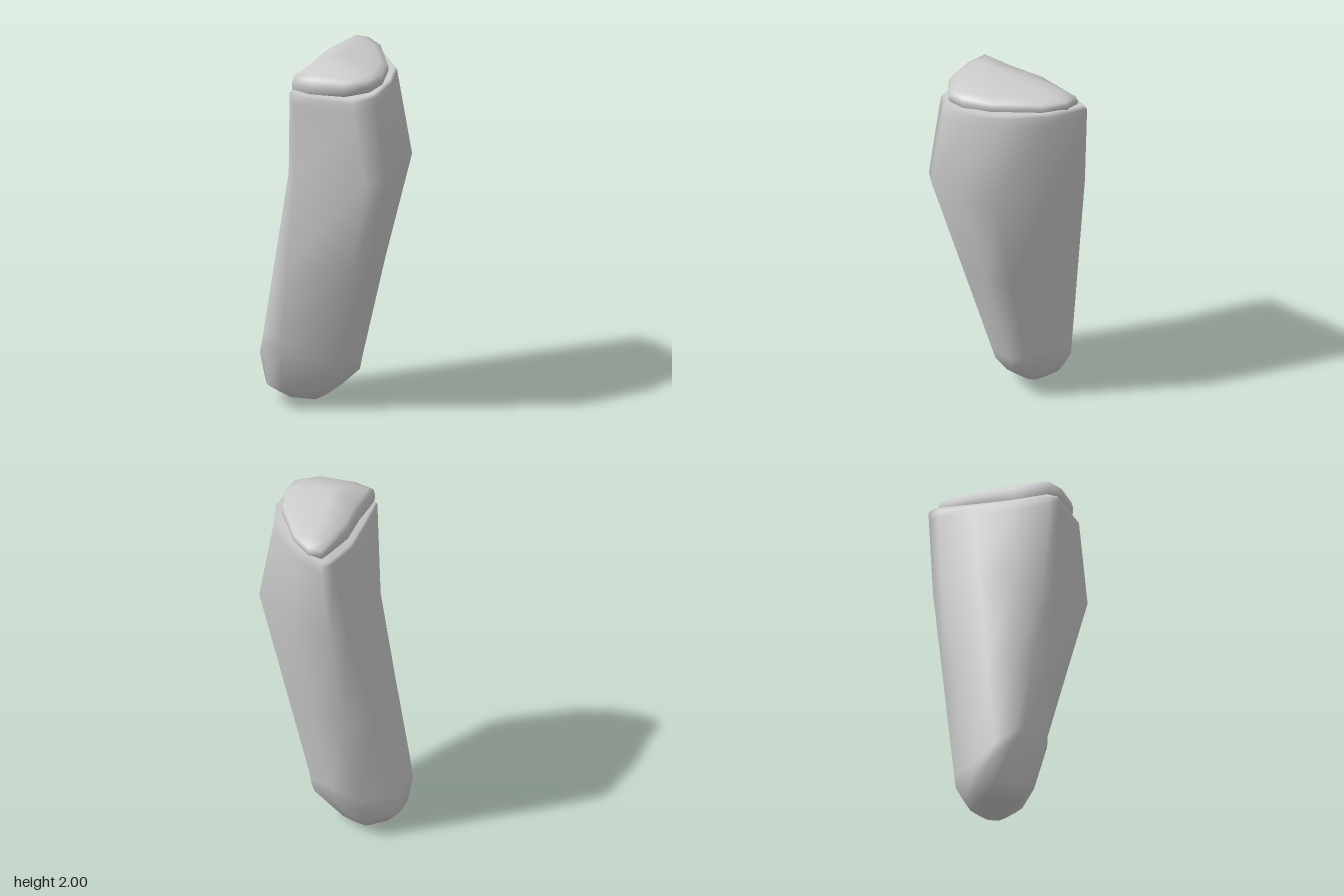
import * as THREE from 'three';

// Skin a stack of equal-length rings (bottom to top), closed by two end points
function loft(rings, bottom, top) {
  const n = rings[0].length;
  const pos = [...bottom, ...rings.flat(2), ...top];
  const last = 1 + n * rings.length;
  const idx = [];
  for (let j = 0; j < n; j++) {
    const k = (j + 1) % n;
    idx.push(0, 1 + k, 1 + j);
    for (let r = 0; r < rings.length - 1; r++) {
      const a = 1 + r * n, b = a + n;
      idx.push(a + j, a + k, b + k, a + j, b + k, b + j);
    }
    const t = last - n;
    idx.push(t + j, t + k, last);
  }
  const g = new THREE.BufferGeometry();
  g.setAttribute('position', new THREE.Float32BufferAttribute(pos, 3));
  g.setIndex(idx);
  g.computeVertexNormals();
  return g;
}

// Scale a ring in plan about (cx, cz), with a new height rule
const shrink = (ring, s, cx, cz, height) => ring.map(([x, y, z]) => {
  const px = cx + (x - cx) * s, pz = cz + (z - cz) * s;
  return [px, height(px, y), pz];
});
const mix = (a, b, t) => a.map((p, i) => p.map((v, k) => v + (b[i][k] - v) * t));

export function createModel() {
  const group = new THREE.Group();
  const material = new THREE.MeshStandardMaterial({ color: 0xcccccc, side: THREE.DoubleSide });
  const add = (name, geometry) => {
    const mesh = new THREE.Mesh(geometry, material);
    mesh.name = name;
    group.add(mesh);
  };

  // Body: rounded triangular sections, leaning and narrowing downwards
  const foot = [
    [-0.375, 0.36, -0.13], [-0.335, 0.35, 0.03], [-0.03, 0.25, 0.07], [0.045, 0.22, 0.055],
    [0.125, 0.19, -0.02], [0.145, 0.2, -0.1], [0.09, 0.22, -0.22], [0.005, 0.19, -0.352],
    [-0.245, 0.15, -0.36], [-0.347, 0.25, -0.27], [-0.37, 0.33, -0.18],
  ];
  const middle = [
    [-0.29, 1.33, 0.03], [-0.28, 1.35, 0.09], [0.01, 1.4, 0.405], [0.12, 1.4, 0.405],
    [0.245, 1.4, 0.265], [0.375, 1.42, 0.1], [0.313, 1.4, -0.2], [0.2, 1.4, -0.4],
    [0.09, 1.4, -0.397], [-0.11, 1.4, -0.27], [-0.235, 1.35, -0.11],
  ];
  const rim = [
    [-0.295, 1.83, 0.06], [-0.285, 1.83, 0.12], [-0.04, 1.835, 0.335], [0.09, 1.855, 0.335],
    [0.22, 1.88, 0.22], [0.302, 1.89, 0.07], [0.312, 1.89, -0.19], [0.25, 1.885, -0.405],
    [0.175, 1.87, -0.385], [0, 1.84, -0.255], [-0.145, 1.83, -0.1],
  ];
  const tip = (s, h, cx, cz) => shrink(foot, s, cx, cz, (x, y) => h + (y - 0.25) * 0.05);
  add('body', loft([
    tip(0.5, 0.04, -0.13, -0.235), tip(0.77, 0.1, -0.22, -0.25), foot,
    mix(foot, middle, 0.06), mix(foot, middle, 0.5), middle,
    mix(middle, rim, 0.9), rim,
    shrink(rim, 0.96, 0.05, -0.02, (x, y) => y + 0.02),
  ], [-0.08, 0, -0.14], [0.05, 1.88, -0.02]));

  // Cap: thin tilted lip with a low off-centre dome
  const outline = [
    [-0.285, 0.07], [-0.22, 0.17], [-0.07, 0.29], [0.07, 0.31], [0.16, 0.25], [0.24, 0.11],
    [0.295, -0.16], [0.275, -0.3], [0.225, -0.36], [0, -0.21], [-0.13, -0.07],
  ].map(([x, z]) => [x, 0, z]);
  const layer = (s, base, slope, cx = 0.05, cz = -0.02) =>
    shrink(outline, s, cx, cz, (x) => base + slope * x);
  add('cap', loft([
    layer(0.94, 1.86, 0.1), layer(0.99, 1.874, 0.1), layer(1, 1.908, 0.07),
    layer(0.97, 1.938, 0.04), layer(0.84, 1.955, 0.05, -0.03, 0.04),
    layer(0.6, 1.974, 0.04, -0.03, 0.04), layer(0.3, 1.991, 0.01, -0.04, 0.05),
  ], [0.05, 1.865, -0.02], [-0.04, 2, 0.05]));

  return group;
}
